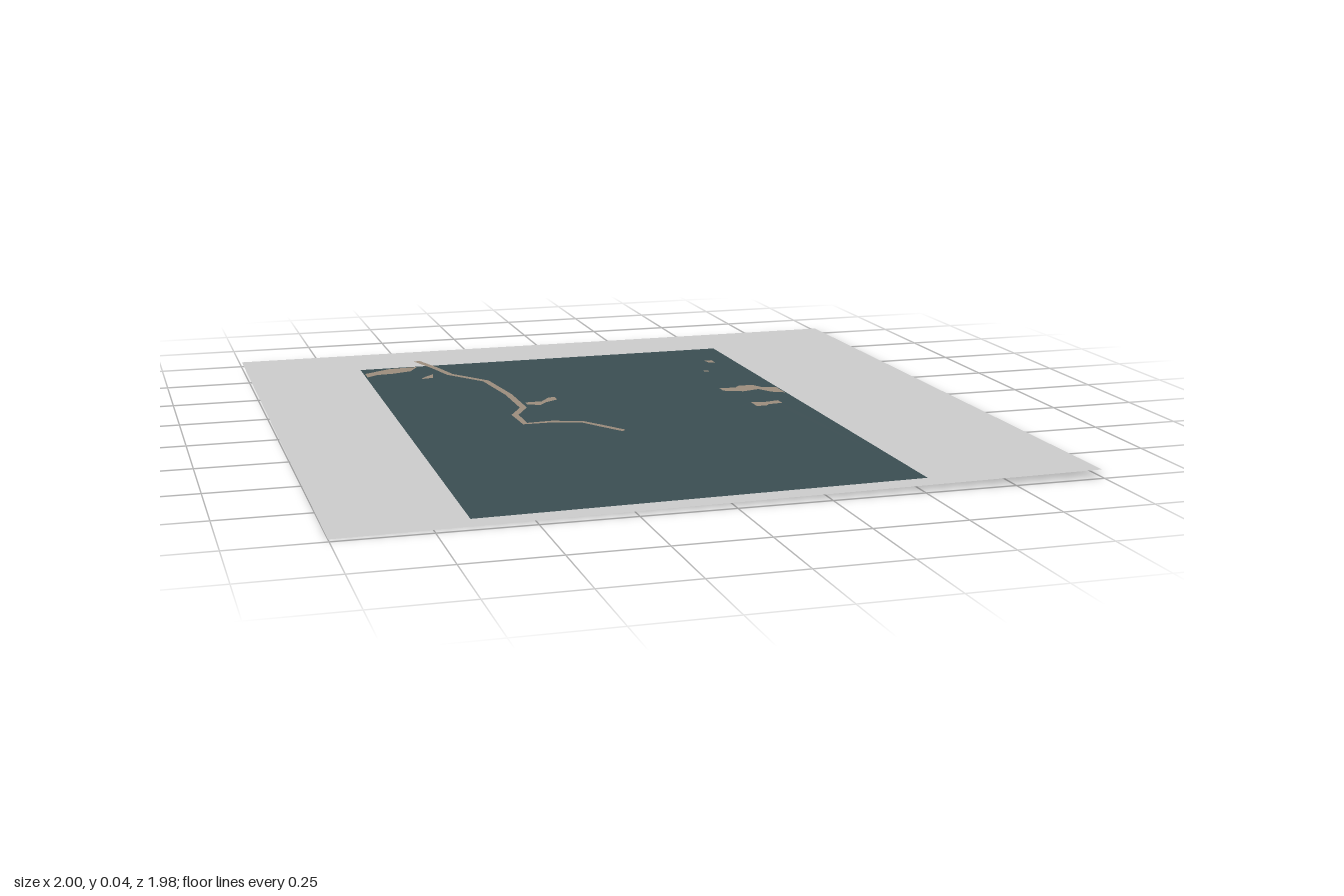
import * as THREE from 'three';

const material = (name, color) => {
  const m = new THREE.MeshStandardMaterial({ color, side: THREE.DoubleSide });
  m.name = name;
  return m;
};

// Nearly flat ground that dips toward the front corner at -x, +z
const groundHeight = (x, z) => 0.02 - 0.005 * (1 - x) * (1 + z);

const toVectors = (outline) => outline.map(([x, z]) => new THREE.Vector2(x, -z));

// Flat sheet draped on the ground, from an [x, z] outline with optional holes
function sheet(name, outline, holes, mat) {
  const shape = new THREE.Shape(toVectors(outline));
  shape.holes = holes.map((hole) => new THREE.Path(toVectors(hole)));
  const geometry = new THREE.ShapeGeometry(shape).rotateX(-Math.PI / 2);
  const p = geometry.attributes.position;
  for (let i = 0; i < p.count; i++) p.setY(i, groundHeight(p.getX(i), p.getZ(i)));
  geometry.computeVertexNormals();
  const mesh = new THREE.Mesh(geometry, mat);
  mesh.name = name;
  return mesh;
}

// Flat ribbon of constant width along [x, z, y] points
function ribbon(name, points, width, mat) {
  const positions = [];
  const index = [];
  points.forEach(([x, z, y], i) => {
    const a = points[Math.max(i - 1, 0)];
    const b = points[Math.min(i + 1, points.length - 1)];
    const side = new THREE.Vector2(a[1] - b[1], b[0] - a[0]).setLength(width / 2);
    positions.push(x - side.x, y, z - side.y, x + side.x, y, z + side.y);
    if (i > 0) {
      const k = 2 * i;
      index.push(k - 2, k - 1, k, k - 1, k + 1, k);
    }
  });
  const geometry = new THREE.BufferGeometry();
  geometry.setAttribute('position', new THREE.Float32BufferAttribute(positions, 3));
  geometry.setIndex(index);
  geometry.computeVertexNormals();
  const mesh = new THREE.Mesh(geometry, mat);
  mesh.name = name;
  return mesh;
}

export function createModel() {
  const grey = material('light grey', 0xcccccc);
  const teal = material('dark teal', 0x3b4e52);
  const brown = material('earth brown', 0x9c8d7d);

  const border = [[-1, -0.975], [0.98, -0.99], [1, 0.985], [-1, 0.98]];
  const field = [[-0.65, -0.76], [0.53, -0.765], [0.54, 0.92], [-0.65, 0.92]];

  // Bare earth patches set flush into the field
  const patches = {
    cornerPatch: [[-0.645, -0.7], [-0.56, -0.75], [-0.47, -0.755], [-0.5, -0.7],
      [-0.56, -0.68], [-0.61, -0.675], [-0.645, -0.65]],
    pathsidePatch: [[-0.44, -0.64], [-0.45, -0.59], [-0.49, -0.58], [-0.47, -0.61]],
    middlePatch: [[-0.25, -0.19], [-0.2, -0.19], [-0.17, -0.23], [-0.15, -0.235],
      [-0.15, -0.2], [-0.19, -0.175], [-0.215, -0.145], [-0.25, -0.165]],
    edgePatch: [[0.36, -0.2], [0.41, -0.195], [0.425, -0.215], [0.47, -0.215],
      [0.49, -0.175], [0.53, -0.165], [0.531, -0.09], [0.495, -0.11],
      [0.47, -0.155], [0.415, -0.14], [0.36, -0.165]],
    lowerPatch: [[0.39, 0], [0.43, 0.01], [0.475, 0], [0.475, 0.035],
      [0.43, 0.04], [0.42, 0.055], [0.39, 0.05]],
    smallPatch: [[0.44, -0.59], [0.465, -0.59], [0.465, -0.555], [0.445, -0.56]],
    tinyPatch: [[0.39, -0.45], [0.405, -0.45], [0.405, -0.435], [0.39, -0.435]],
  };

  // Winding path lying just above the field, dropping to it at its end
  const path = [[-0.47, -0.76, 0.036], [-0.436, -0.64, 0.038], [-0.41, -0.52, 0.04],
    [-0.325, -0.39, 0.042], [-0.3, -0.19, 0.042], [-0.297, -0.016, 0.042],
    [-0.34, 0.064, 0.042], [-0.335, 0.166, 0.04], [-0.255, 0.155, 0.038],
    [-0.17, 0.165, 0.034], [-0.125, 0.2, 0.028], [-0.07, 0.24, 0.02]];

  const model = new THREE.Group();
  model.name = 'terrainSheet';
  model.add(sheet('border', border, [field], grey));
  model.add(sheet('field', field, Object.values(patches), teal));
  for (const [name, outline] of Object.entries(patches)) {
    model.add(sheet(name, outline, [], brown));
  }
  model.add(ribbon('path', path, 0.02, brown));
  return model;
}
